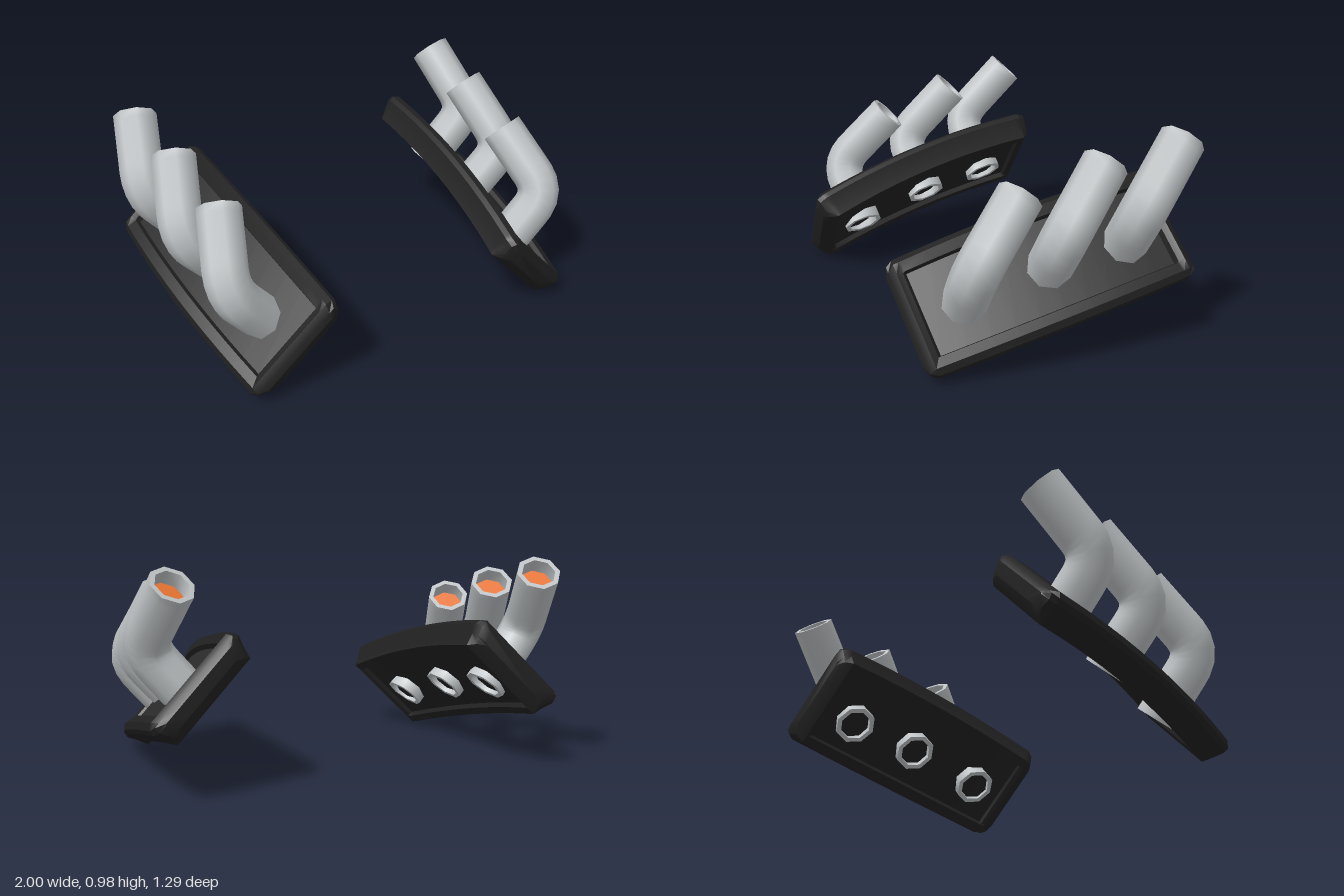
import * as THREE from 'three';
import { toCreasedNormals } from 'three/addons/utils/BufferGeometryUtils.js';

const V = (x, y, z) => new THREE.Vector3(x, y, z);
const material = (name, color) => {
  const m = new THREE.MeshStandardMaterial({ color });
  m.name = name;
  return m;
};

// Skin closed rings of equal length; side = -1 mirrors the result across x
function loft(rings, side, { skin = true, startCap = false, endCap = false, crease = 0.5 }) {
  const m = rings[0].length, index = [];
  const tri = (a, b, c) => (side > 0 ? index.push(a, b, c) : index.push(a, c, b));
  if (skin) {
    for (let i = 0; i < rings.length - 1; i++) {
      for (let j = 0; j < m; j++) {
        const k = (j + 1) % m, a = i * m, b = a + m;
        tri(a + j, a + k, b + j);
        tri(a + k, b + k, b + j);
      }
    }
  }
  const last = (rings.length - 1) * m;
  for (let j = 1; j < m - 1; j++) {
    if (startCap) tri(0, j + 1, j);
    if (endCap) tri(last, last + j, last + j + 1);
  }
  const g = new THREE.BufferGeometry();
  const pos = rings.flat().flatMap(p => [p.x * side, p.y, p.z]);
  g.setAttribute('position', new THREE.Float32BufferAttribute(pos, 3));
  g.setIndex(index);
  return toCreasedNormals(g, crease);
}

// Plate frame: along its length, across its width, and out of its face
const along = V(-0.08, -0.232, 0.97).normalize();
const across = V(0.7, -0.7, -0.148);
across.addScaledVector(along, -across.dot(along)).normalize();
const out = along.clone().cross(across);
const plateCentre = V(0.756, 0.416, 0.03);
const HALF = 0.64, THICK = 0.145, FLOOR = 0.04;

// Place half a cross-section [width, height], mirrored, at a station of the bowed plate
function bowedRing(s, half) {
  const section = [...half, ...half.map(([w, n]) => [-w, n]).reverse()];
  const bulge = 1 + 0.06 * (1 - (s / HALF) ** 2);
  return section.map(([w, n]) => plateCentre.clone()
    .addScaledVector(along, s * (1 + 0.35 * n))
    .addScaledVector(out, n - 0.11 * s * s)
    .addScaledVector(across, w * bulge));
}

// Plate body: rounded rim around a recess on each face, walls tapering to the underside
function plateRings() {
  // position, half width, top drop, bottom lift, recess depth
  const ends = [
    [HALF, 0.21, 0.04, 0.05, 0], [0.622, 0.25, 0.018, 0.025, 0], [0.59, 0.268, 0, 0, 0],
    [0.565, 0.268, 0, 0, 0.012], [0.555, 0.268, 0, 0, FLOOR],
  ];
  const stations = ends.map(([s, ...rest]) => [-s, ...rest]);
  for (let i = 1; i < 10; i++) stations.push([-0.555 + i * 0.111, ...ends[4].slice(1)]);
  stations.push(...ends.slice().reverse());
  return stations.map(([s, hw, drop, lift, r]) => bowedRing(s, [
    [hw - 0.085, -THICK + lift + r * 0.6], [hw - 0.078, -THICK + lift],
    [hw - 0.036, -THICK + lift], [hw - 0.02, -THICK + 0.055],
    [hw, -0.045], [hw - 0.006, Math.min(-0.02, -drop)], [hw - 0.032, -drop],
    [hw - 0.075, -drop - Math.min(r, 0.012)], [hw - 0.082, -drop - r],
  ]));
}

// Thin panel laid on the floor of the recess
function panelRings() {
  return Array.from({ length: 11 }, (_, i) =>
    bowedRing(-0.554 + i * 0.1108, [[0.186, -FLOOR - 0.002], [0.186, -FLOOR + 0.006]]));
}

// Bent hollow pipe: inner wall, bottom lip, outer wall, top lip, inner wall
function pipeRings(base, elbow, tip) {
  const down = base.clone().sub(elbow).normalize();
  const up = tip.clone().sub(elbow).normalize();
  const start = base.clone().addScaledVector(down, 0.12);
  const a = elbow.clone().addScaledVector(down, 0.11);
  const b = elbow.clone().addScaledVector(up, 0.11);
  const path = new THREE.CurvePath();
  path.add(new THREE.LineCurve3(start, a));
  path.add(new THREE.QuadraticBezierCurve3(a, elbow, b));
  path.add(new THREE.LineCurve3(b, tip));

  const n = 18, frames = path.computeFrenetFrames(n, false);
  const ring = (i, radius, shift = 0) => {
    const c = path.getPointAt(i / n).addScaledVector(frames.tangents[i], shift);
    return Array.from({ length: 8 }, (_, j) => {
      const t = (j / 8) * Math.PI * 2;
      return c.clone()
        .addScaledVector(frames.normals[i], Math.cos(t) * radius)
        .addScaledVector(frames.binormals[i], Math.sin(t) * radius);
    });
  };
  const R = 0.1, INNER = 0.077, DEPTH = 0.07;
  const rings = [ring(0, INNER, DEPTH), ring(0, INNER)];
  for (let i = 0; i <= n; i++) rings.push(ring(i, R));
  rings.push(ring(n, INNER), ring(n, INNER, -DEPTH));
  return rings;
}

export function createModel() {
  const model = new THREE.Group();
  model.name = 'exhaustPair';
  const black = material('blackRim', 0x212121);
  const charcoal = material('charcoalPanel', 0x2a2a2a);
  const metal = material('greyMetal', 0xbec2c4);
  const orange = material('orangeGlow', 0xe87432);

  // base on the plate, elbow corner, open tip
  const pipes = [
    [V(0.7, 0.285, 0.375), V(0.86, 0.47, 0.403), V(0.765, 0.74, 0.155)],
    [V(0.74, 0.39, 0), V(0.895, 0.56, 0.028), V(0.803, 0.84, -0.22)],
    [V(0.77, 0.455, -0.355), V(0.92, 0.63, -0.327), V(0.84, 0.91, -0.573)],
  ];

  for (const side of [1, -1]) {
    const bank = new THREE.Group();
    bank.name = side > 0 ? 'leftBank' : 'rightBank';
    const add = (name, geometry, mat) => {
      const mesh = new THREE.Mesh(geometry, mat);
      mesh.name = name;
      bank.add(mesh);
    };
    add('mountingPlate', loft(plateRings(), side, { startCap: true, endCap: true }), black);
    add('platePanel', loft(panelRings(), side, { startCap: true, endCap: true }), charcoal);
    pipes.forEach((points, i) => {
      const rings = pipeRings(...points);
      add(`pipe${i + 1}`, loft(rings, side, { crease: 0.95 }), metal);
      add(`pipeGlow${i + 1}`, loft(rings, side, { skin: false, endCap: true }), orange);
      add(`pipePlug${i + 1}`, loft(rings, side, { skin: false, startCap: true }), black);
    });
    model.add(bank);
  }
  return model;
}
